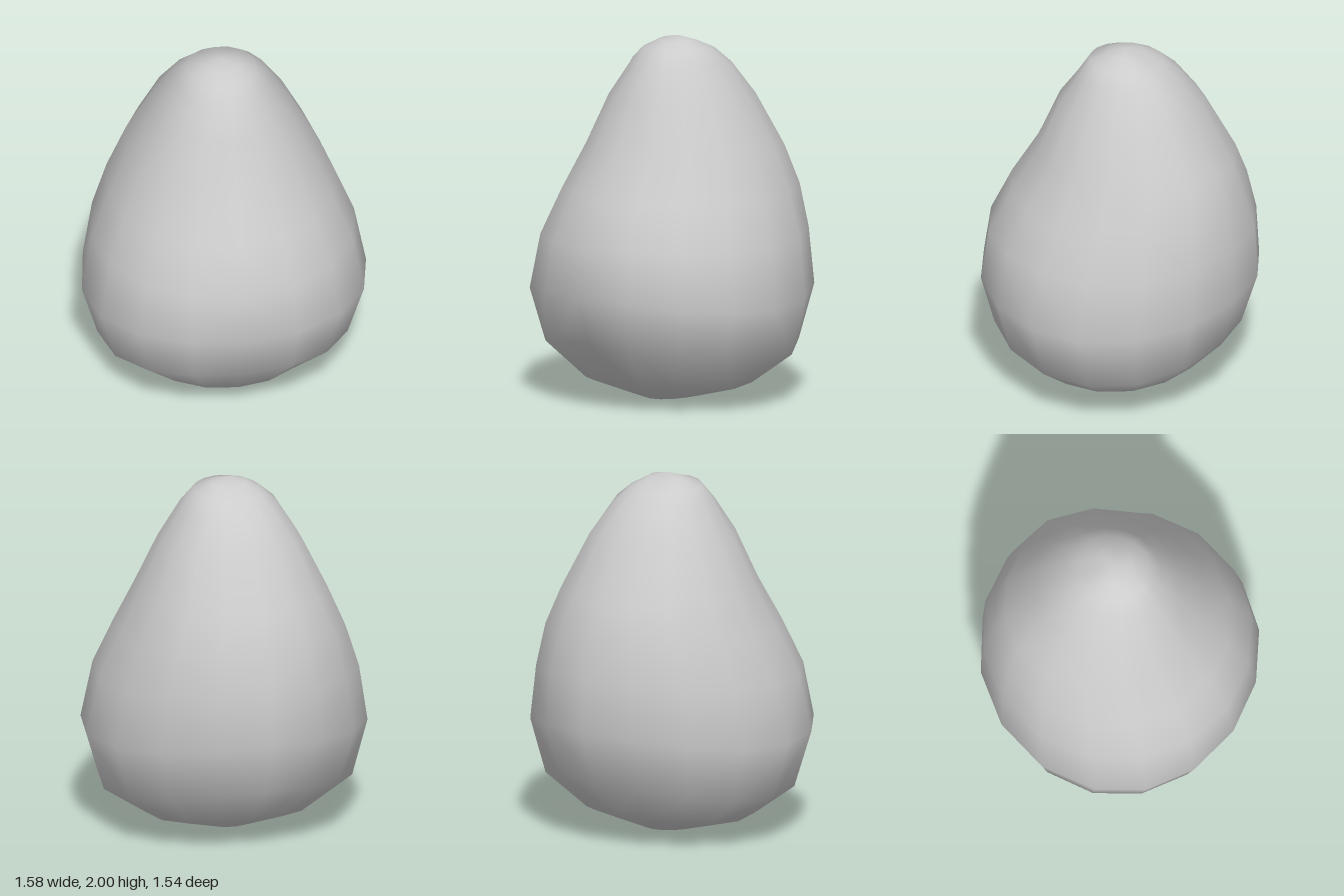
import * as THREE from 'three';

const SEGMENTS = 16;

// Cross-sections from crown to base:
// [front y, front z, side y, side x, side z, back y, back z]
const RINGS = [
  [1.97, 0.07, 1.98, 0.10, -0.03, 1.965, -0.13],
  [1.94, 0.17, 1.93, 0.19, -0.03, 1.92, -0.24],
  [1.83, 0.24, 1.87, 0.26, -0.04, 1.82, -0.34],
  [1.69, 0.34, 1.66, 0.39, -0.05, 1.68, -0.46],
  [1.41, 0.46, 1.40, 0.52, -0.06, 1.36, -0.63],
  [1.16, 0.61, 1.15, 0.63, -0.03, 1.19, -0.69],
  [0.91, 0.73, 0.90, 0.73, 0.01, 0.96, -0.755],
  [0.64, 0.77, 0.57, 0.79, 0.05, 0.67, -0.77],
  [0.37, 0.70, 0.25, 0.70, 0.02, 0.38, -0.68],
  [0.13, 0.50, 0.09, 0.46, 0.02, 0.15, -0.47],
  [0.005, 0.19, 0.015, 0.17, 0.01, 0.01, -0.16],
];

function pearGeometry() {
  const positions = [0, 2, -0.03];
  for (const [fy, fz, sy, sx, sz, by, bz] of RINGS) {
    for (let j = 0; j < SEGMENTS; j++) {
      const a = (j / SEGMENTS) * Math.PI * 2;
      const c = Math.cos(a), s = Math.sin(a);
      // the back shoulders are slightly fuller than an ellipse
      const full = c < 0 && sy > 1 ? 1 + 0.04 * (2 * s * c) ** 2 : 1;
      const endY = c > 0 ? fy : by;
      const reach = c > 0 ? fz - sz : sz - bz;
      positions.push(sx * s * full, sy + (endY - sy) * c * c, sz + reach * c * full);
    }
  }
  const base = positions.length / 3;
  positions.push(0, 0, 0.01);

  const index = [];
  const at = (ring, j) => 1 + ring * SEGMENTS + (j % SEGMENTS);
  const last = RINGS.length - 1;
  for (let j = 0; j < SEGMENTS; j++) {
    index.push(0, at(0, j), at(0, j + 1));
    for (let r = 0; r < last; r++) {
      const p = at(r, j), q = at(r, j + 1), u = at(r + 1, j), v = at(r + 1, j + 1);
      // mirrored diagonals keep both halves alike
      if (j < SEGMENTS / 2) index.push(p, u, v, p, v, q);
      else index.push(p, u, q, q, u, v);
    }
    index.push(base, at(last, j + 1), at(last, j));
  }

  const geometry = new THREE.BufferGeometry();
  geometry.setAttribute('position', new THREE.Float32BufferAttribute(positions, 3));
  geometry.setIndex(index);
  geometry.computeVertexNormals();
  return geometry;
}

export function createModel() {
  const group = new THREE.Group();
  const body = new THREE.Mesh(
    pearGeometry(),
    new THREE.MeshStandardMaterial({ color: 0xcccccc })
  );
  body.name = 'pearShapedBody';
  group.add(body);
  return group;
}
